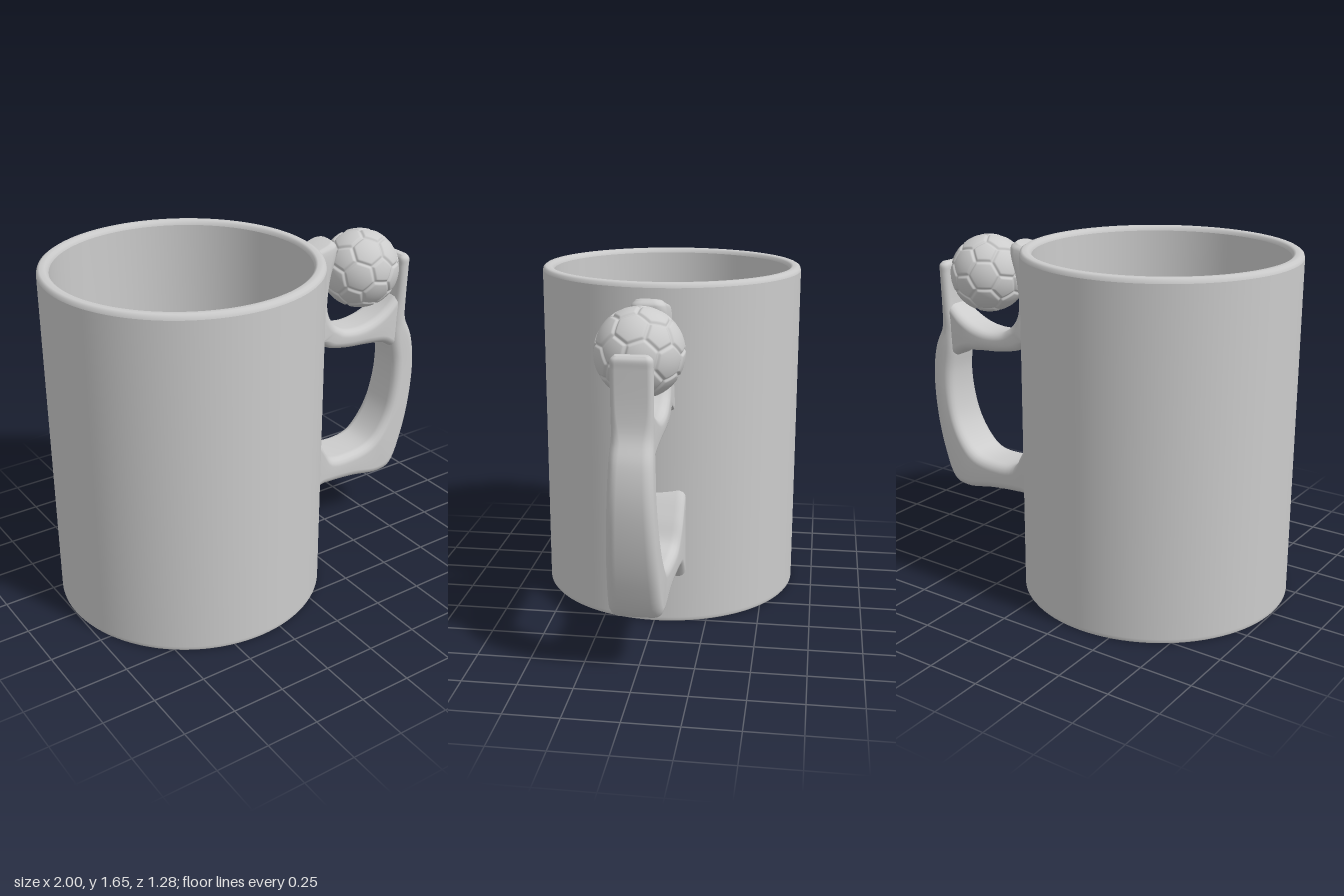
import * as THREE from 'three';
import { mergeVertices } from 'three/addons/utils/BufferGeometryUtils.js';

const grey = new THREE.MeshStandardMaterial({ color: 0xcccccc });

function part(name, geometry) {
  const mesh = new THREE.Mesh(geometry, grey);
  mesh.name = name;
  return mesh;
}

// Rounded rectangle of half sizes a and b, counter-clockwise
function roundedSection(a, b, radius) {
  const r = Math.min(radius, a * 0.9, b * 0.9);
  const points = [];
  for (let c = 0; c < 4; c++) {
    const sx = c === 0 || c === 3 ? 1 : -1;
    const sy = c < 2 ? 1 : -1;
    for (let k = 0; k <= 4; k++) {
      const t = (c + k / 4) * Math.PI / 2;
      points.push([sx * (a - r) + r * Math.cos(t), sy * (b - r) + r * Math.sin(t)]);
    }
  }
  return points;
}

// Loft through stations [x1, y1, x2, y2, halfDepth]: one edge, the other edge, depth in z
function loft(stations, steps = 5, radius = 0.045) {
  const edgeA = new THREE.CatmullRomCurve3(stations.map(s => new THREE.Vector3(s[0], s[1], s[4])));
  const edgeB = new THREE.CatmullRomCurve3(stations.map(s => new THREE.Vector3(s[2], s[3], s[4])));
  const rows = (stations.length - 1) * steps;
  const pos = [], index = [], centres = [];
  let n = 0;
  for (let i = 0; i <= rows; i++) {
    const a = edgeA.getPoint(i / rows), b = edgeB.getPoint(i / rows);
    const half = Math.hypot(b.x - a.x, b.y - a.y) / 2;
    const ux = (b.x - a.x) / (2 * half), uy = (b.y - a.y) / (2 * half);
    const cx = (a.x + b.x) / 2, cy = (a.y + b.y) / 2;
    const ring = roundedSection(half, a.z, radius);
    n = ring.length;
    for (const [u, v] of ring) pos.push(cx + ux * u, cy + uy * u, v);
    centres.push([cx, cy, 0]);
  }
  for (let i = 0; i < rows; i++) {
    for (let j = 0; j < n; j++) {
      const k = (j + 1) % n, p = i * n, q = p + n;
      index.push(p + j, p + k, q + j, p + k, q + k, q + j);
    }
  }
  // End caps
  const first = pos.length / 3, last = first + 1;
  pos.push(...centres[0], ...centres[rows]);
  for (let j = 0; j < n; j++) {
    const k = (j + 1) % n;
    index.push(first, k, j, last, rows * n + j, rows * n + k);
  }
  const g = new THREE.BufferGeometry();
  g.setAttribute('position', new THREE.Float32BufferAttribute(pos, 3));
  g.setIndex(index);
  g.computeVertexNormals();
  return g;
}

// Sphere with grooves along the edges of 12 pentagon and 20 hexagon panels
function panelledBall(radius) {
  const phi = (1 + Math.sqrt(5)) / 2;
  const panels = [];
  const add = (x, y, z, dist) => panels.push(new THREE.Vector3(x, y, z).normalize().divideScalar(dist));
  for (const s of [-1, 1]) for (const t of [-1, 1]) {
    add(0, s, t * phi, 2.327); add(s, t * phi, 0, 2.327); add(t * phi, 0, s, 2.327);
    add(s / phi, 0, t * phi, 2.267); add(0, t * phi, s / phi, 2.267); add(t * phi, s / phi, 0, 2.267);
    add(s, t, 1, 2.267); add(s, t, -1, 2.267);
  }
  let g = new THREE.IcosahedronGeometry(1, 48);
  g.deleteAttribute('normal');
  g.deleteAttribute('uv');
  g = mergeVertices(g, 1e-4);
  const p = g.attributes.position, d = new THREE.Vector3();
  for (let i = 0; i < p.count; i++) {
    d.fromBufferAttribute(p, i).normalize();
    let best = 0, second = 0;
    for (const n of panels) {
      const v = d.dot(n) * 2.3;
      if (v > best) { second = best; best = v; } else if (v > second) second = v;
    }
    const groove = 1 - THREE.MathUtils.smoothstep(best - second, 0, 0.045);
    d.multiplyScalar(radius - 0.008 * groove);
    p.setXYZ(i, d.x, d.y, d.z);
  }
  g.computeVertexNormals();
  return g;
}

// Lathe each run of the profile separately so the corners between runs stay crisp
function mugBody() {
  const group = new THREE.Group();
  group.name = 'mug';
  const runs = {
    base: [[0, 0], [0.638, 0]],
    outerWall: [[0.638, 0], [0.6425, 0.006], [0.6425, 0.02], [0.6425, 1.63]],
    rim: [[0.6425, 1.63], [0.638, 1.645], [0.627, 1.652], [0.603, 1.652], [0.592, 1.645], [0.587, 1.63]],
    innerWall: [[0.587, 1.63], [0.585, 0.15], [0.575, 0.11], [0.545, 0.085], [0.5, 0.08]],
    floor: [[0.5, 0.08], [0, 0.08]]
  };
  for (const [name, pts] of Object.entries(runs)) {
    group.add(part(name, new THREE.LatheGeometry(pts.map(p => new THREE.Vector2(...p)), 96)));
  }
  group.position.x = -0.3575;
  return group;
}

export function createModel() {
  const model = new THREE.Group();
  model.name = 'mugWithBallHandle';
  model.add(mugBody());

  // Lower arm, grip and outer prong in one sweep
  model.add(part('handleGrip', loft([
    [0.25, 0.20, 0.25, 0.70, 0.15],
    [0.30, 0.27, 0.30, 0.645, 0.15],
    [0.35, 0.315, 0.36, 0.56, 0.148],
    [0.43, 0.312, 0.43, 0.46, 0.138],
    [0.60, 0.29, 0.58, 0.437, 0.125],
    [0.77, 0.262, 0.69, 0.455, 0.12],
    [0.845, 0.285, 0.755, 0.505, 0.12],
    [0.92, 0.44, 0.82, 0.61, 0.115],
    [0.975, 0.65, 0.852, 0.74, 0.108],
    [0.995, 0.86, 0.858, 0.88, 0.10],
    [0.975, 1.01, 0.84, 1.01, 0.095],
    [0.93, 1.12, 0.84, 1.11, 0.09],
    [0.92, 1.22, 0.86, 1.22, 0.09],
    [0.925, 1.40, 0.87, 1.40, 0.09],
    [0.927, 1.44, 0.872, 1.44, 0.088],
    [0.915, 1.458, 0.885, 1.458, 0.07]
  ])));

  // Inner prong against the wall, turning into the cradle under the ball
  model.add(part('handleCradle', loft([
    [0.30, 1.56, 0.45, 1.61, 0.06],
    [0.25, 1.54, 0.475, 1.58, 0.08],
    [0.25, 1.40, 0.435, 1.42, 0.088],
    [0.25, 1.25, 0.42, 1.29, 0.092],
    [0.25, 1.13, 0.43, 1.23, 0.098],
    [0.265, 1.06, 0.455, 1.19, 0.10],
    [0.35, 1.10, 0.49, 1.16, 0.10],
    [0.43, 1.06, 0.53, 1.14, 0.10],
    [0.54, 1.035, 0.61, 1.13, 0.098],
    [0.68, 1.02, 0.71, 1.147, 0.095],
    [0.79, 1.00, 0.80, 1.19, 0.09],
    [0.87, 0.95, 0.875, 1.25, 0.08]
  ])));

  // Ball resting between the prongs
  const ball = part('ball', panelledBall(0.196));
  ball.position.set(0.66, 1.417, 0.005);
  ball.rotation.set(0.3, 0.2, 0.4);
  model.add(ball);
  return model;
}
